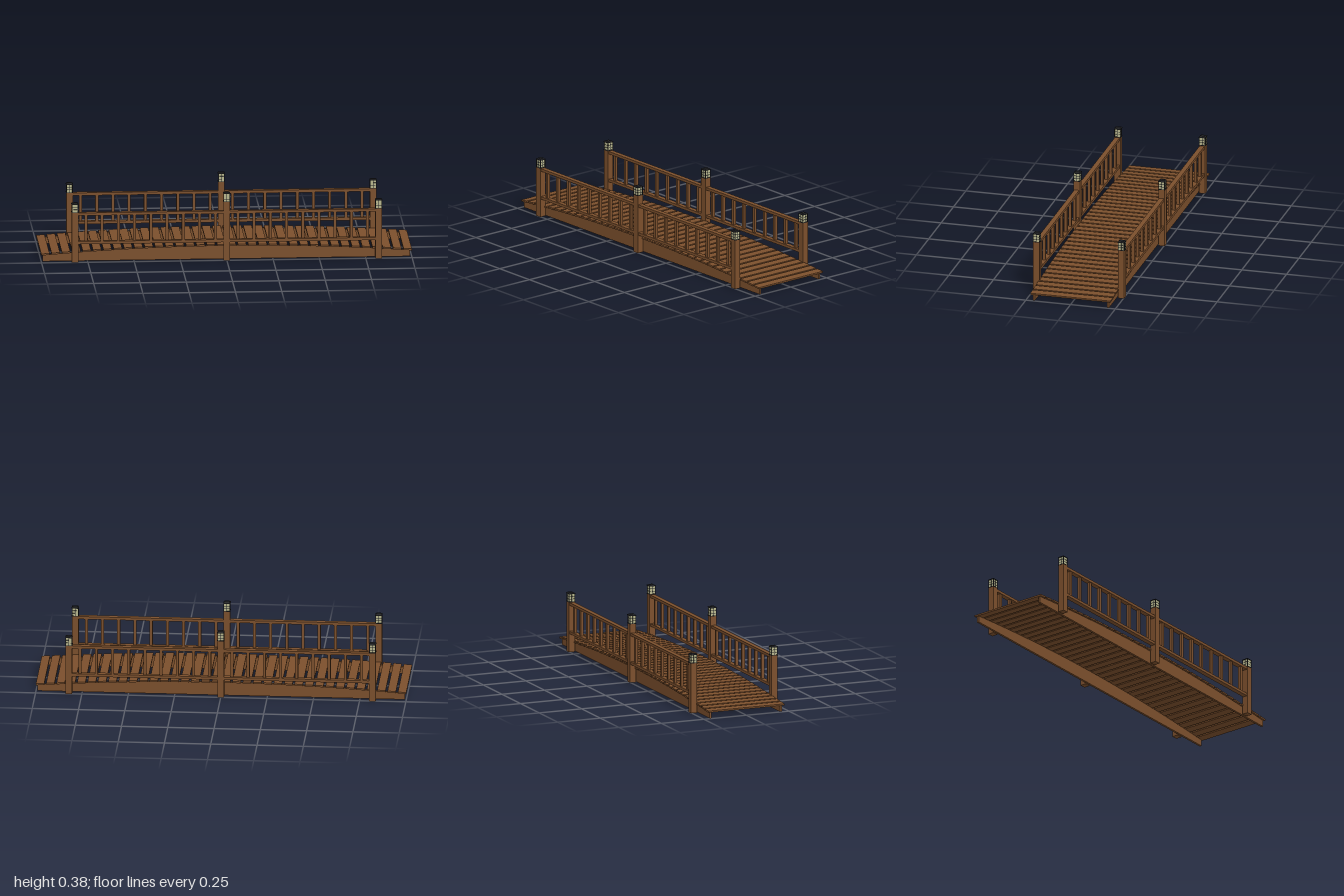
import * as THREE from 'three';

const wood = new THREE.MeshStandardMaterial({ color: 0x7b4f2c });
wood.name = 'wood';
const black = new THREE.MeshStandardMaterial({ color: 0x1c1d20 });
black.name = 'black metal';
const glass = new THREE.MeshStandardMaterial({ color: 0xb8b78e });
glass.name = 'cream glass';

const POST_X = 0.82, POST_Z = 0.237, POST_W = 0.035;

// Height of the arched stringer top, which the planks rest on
const archY = (x) => 0.034 + 0.04 * (1 - x * x);

function box(parent, name, material, size, position) {
  const mesh = new THREE.Mesh(new THREE.BoxGeometry(...size), material);
  mesh.name = name;
  mesh.position.set(...position);
  parent.add(mesh);
  return mesh;
}

// Square post cap lantern with its base at y = 0
function createLantern() {
  const lantern = new THREE.Group();
  lantern.name = 'lantern';
  const w = 0.035, h = 0.046, bar = 0.003;
  box(lantern, 'lanternBase', black, [0.038, 0.003, 0.038], [0, 0.0015, 0]);
  box(lantern, 'lanternGlass', glass, [0.032, h, 0.032], [0, h / 2, 0]);
  for (const sx of [-1, 1]) for (const sz of [-1, 1]) {
    box(lantern, 'lanternCorner', black, [bar, h, bar], [sx * (w - bar) / 2, h / 2, sz * (w - bar) / 2]);
  }
  // Glazing bars on the four faces
  for (let i = 0; i < 4; i++) {
    const face = new THREE.Group();
    face.name = 'lanternGrille';
    face.rotation.y = i * Math.PI / 2;
    box(face, 'verticalBar', black, [0.0025, h, 0.002], [0, h / 2, 0.0162]);
    for (const y of [0.0165, 0.031]) {
      box(face, 'crossBar', black, [w - bar, 0.002, 0.002], [0, y, 0.0162]);
    }
    lantern.add(face);
  }
  // Eave and sloped lid
  box(lantern, 'lanternEave', black, [0.038, 0.003, 0.038], [0, h, 0]);
  const lidGeometry = new THREE.CylinderGeometry(0.012 * Math.SQRT2, 0.019 * Math.SQRT2, 0.005, 4, 1)
    .rotateY(Math.PI / 4).toNonIndexed();
  lidGeometry.computeVertexNormals();
  const lid = new THREE.Mesh(lidGeometry, black);
  lid.name = 'lanternLid';
  lid.position.y = h + 0.004;
  lantern.add(lid);
  return lantern;
}

// Posts, lanterns, rails and balusters along one side
function createRailing(z) {
  const railing = new THREE.Group();
  railing.name = 'railing';
  for (const x of [-POST_X, 0, POST_X]) {
    const h = x === 0 ? 0.323 : 0.275;
    box(railing, 'post', wood, [POST_W, h, POST_W], [x, h / 2, z]);
    const lantern = createLantern();
    lantern.position.set(x, h, z);
    railing.add(lantern);
  }
  for (const s of [-1, 1]) {
    const length = POST_X - POST_W, middle = s * POST_X / 2;
    box(railing, 'topRail', wood, [length, 0.015, 0.027], [middle, 0.266, z]);
    box(railing, 'bottomRail', wood, [length, 0.015, 0.027], [middle, 0.108, z]);
    for (let i = 0; i < 9; i++) {
      box(railing, 'baluster', wood, [0.016, 0.144, 0.016], [s * (0.06 + i * 0.0875), 0.187, z]);
    }
  }
  return railing;
}

// Arched side beam with a flat bottom
function createStringer(z) {
  const end = 0.992, steps = 24;
  const shape = new THREE.Shape();
  shape.moveTo(-end, 0);
  shape.lineTo(end, 0);
  for (let i = 0; i <= steps; i++) {
    const x = end - 2 * end * i / steps;
    shape.lineTo(x, archY(x));
  }
  const geometry = new THREE.ExtrudeGeometry(shape, { depth: 0.012, bevelEnabled: false });
  const mesh = new THREE.Mesh(geometry, wood);
  mesh.name = 'stringer';
  mesh.position.z = z - 0.006;
  return mesh;
}

export function createModel() {
  const bridge = new THREE.Group();
  bridge.name = 'gardenBridge';

  // Deck planks tilted to follow the arch
  const deck = new THREE.Group();
  deck.name = 'deck';
  const count = 36, plankW = 0.045;
  for (let i = 0; i < count; i++) {
    const x = (2 - plankW) * (i / (count - 1) - 0.5);
    const plank = box(deck, 'plank', wood, [plankW, 0.009, 0.448], [x, archY(x) + 0.0045, 0]);
    plank.rotation.z = Math.atan(-0.08 * x);
  }
  bridge.add(deck);

  for (const s of [-1, 1]) {
    bridge.add(createStringer(s * 0.207));
    bridge.add(createRailing(s * POST_Z));
  }
  return bridge;
}
